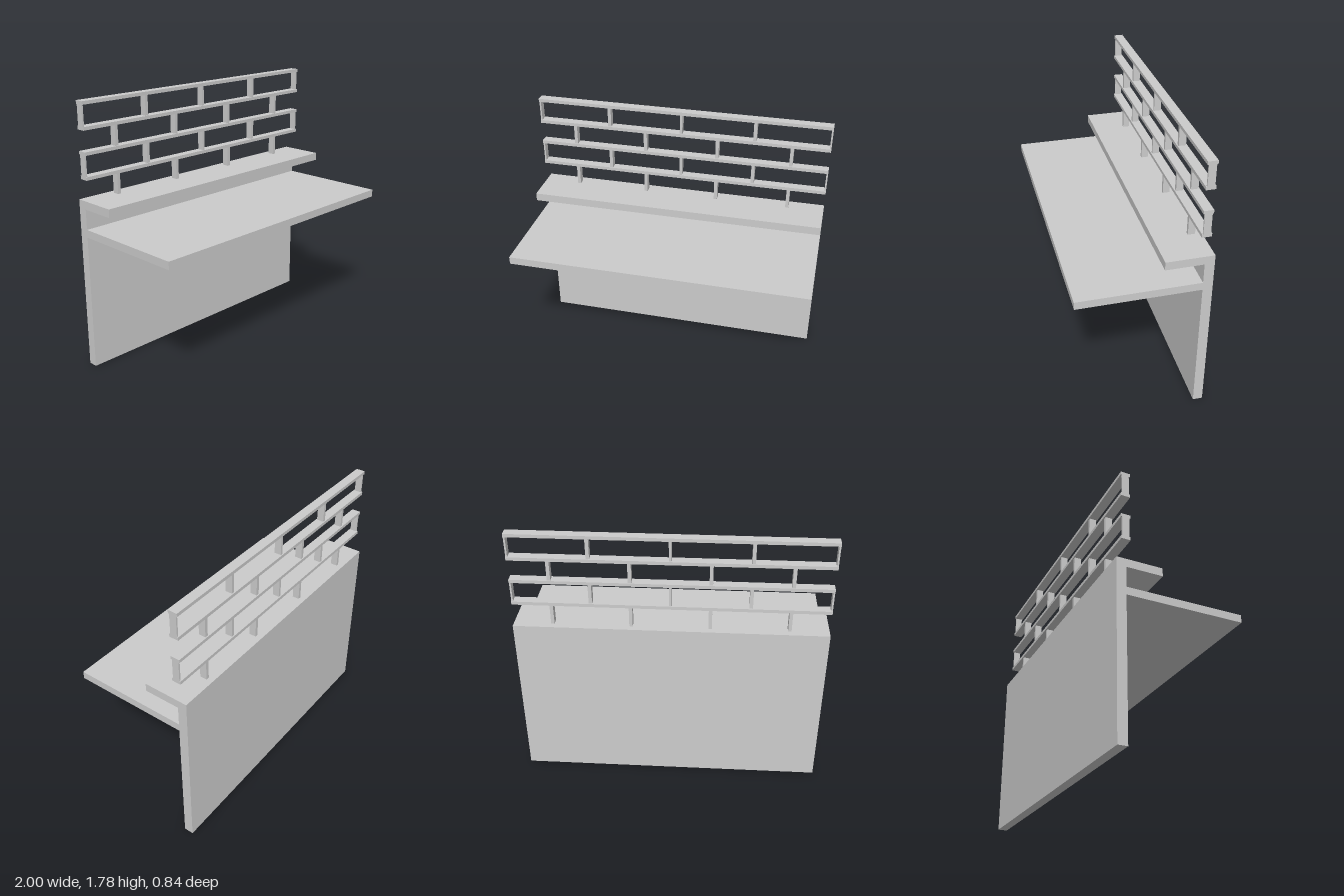
import * as THREE from 'three';

export function createModel() {
  const group = new THREE.Group();
  const material = new THREE.MeshStandardMaterial({ color: 0xcccccc, flatShading: true });

  const addBox = (name, w, h, d, x, y, z) => {
    const mesh = new THREE.Mesh(new THREE.BoxGeometry(w, h, d), material);
    mesh.position.set(x, y, z);
    mesh.name = name;
    group.add(mesh);
  };

  // Back wall, desk top and upper shelf as one side profile (z, y)
  const back = -0.421, wallFront = -0.358, shelfFront = -0.117, deskFront = 0.421;
  const profile = new THREE.Shape([
    [back, 0], [wallFront, 0], [wallFront, 0.914], [deskFront, 0.914],
    [deskFront, 0.966], [wallFront, 0.966], [wallFront, 1.1],
    [shelfFront, 1.1], [shelfFront, 1.155], [back, 1.155],
  ].map(([z, y]) => new THREE.Vector2(z, y)));
  const counter = new THREE.ExtrudeGeometry(profile, { depth: 2, bevelEnabled: false });
  counter.translate(0, 0, -1).rotateY(-Math.PI / 2);
  const body = new THREE.Mesh(counter, material);
  body.name = 'counterBody';
  group.add(body);

  // Brick-pattern screen: rails with staggered posts below each one
  const screenZ = -0.357, railH = 0.022, pitch = 0.1565;
  let floor = 1.155;
  for (let row = 0; row < 4; row++) {
    const railBottom = 1.293 + row * pitch;
    addBox('screenRail', 2, railH, 0.061, 0, railBottom + railH / 2, screenZ);
    const h = railBottom - floor, y = floor + h / 2;
    const xs = row % 2 ? [-0.5, 0, 0.5] : [-0.75, -0.25, 0.25, 0.75];
    for (const x of xs) addBox('screenPost', x === 0 ? 0.017 : 0.022, h, 0.046, x, y, screenZ);
    if (row % 2) {
      for (const side of [-1, 1]) addBox('screenEndPost', 0.011, h, 0.046, side * 0.9945, y, screenZ);
    }
    floor = railBottom + railH;
  }
  return group;
}
